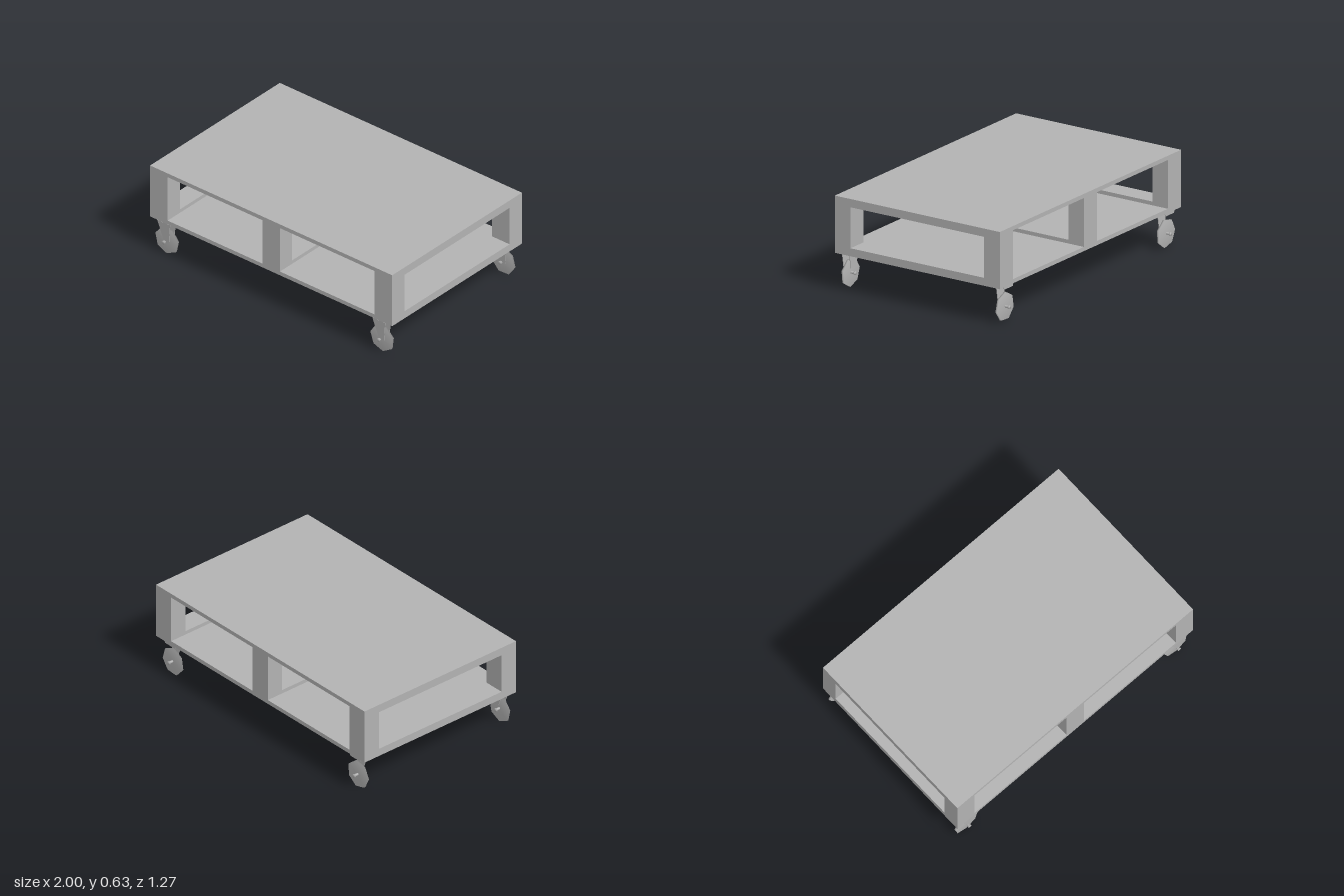
import * as THREE from 'three';
import { mergeVertices } from 'three/addons/utils/BufferGeometryUtils.js';

const grey = new THREE.MeshStandardMaterial({ color: 0xb2b2b2, side: THREE.DoubleSide });
grey.name = 'grey';

function add(parent, name, geometry, x = 0, y = 0, z = 0) {
  const mesh = new THREE.Mesh(geometry, grey);
  mesh.name = name;
  mesh.position.set(x, y, z);
  parent.add(mesh);
  return mesh;
}

// Box given by its limits on each axis
function slab(parent, name, [x0, x1], [y0, y1], [z0, z1]) {
  const g = new THREE.BoxGeometry(x1 - x0, y1 - y0, z1 - z0);
  return add(parent, name, g, (x0 + x1) / 2, (y0 + y1) / 2, (z0 + z1) / 2);
}

// Cylinder along z with normals blended over its few facets
function disc(radius, depth, sides, turn = 0) {
  const g = new THREE.CylinderGeometry(radius, radius, depth, sides);
  g.rotateX(Math.PI / 2).rotateZ(turn);
  g.deleteAttribute('uv');
  g.deleteAttribute('normal');
  const smooth = mergeVertices(g);
  smooth.computeVertexNormals();
  return smooth;
}

// Thin tapering fork leg, leaning from zTop to zBottom
function forkLeg(parent, zTop, zBottom, yBottom) {
  const top = 0.24, t = (top - yBottom) / 0.14;
  const shape = new THREE.Shape([
    new THREE.Vector2(-0.055, top), new THREE.Vector2(0.05, top),
    new THREE.Vector2(0.045 - 0.01 * t, yBottom), new THREE.Vector2(-0.055 + 0.05 * t, yBottom),
  ]);
  const g = new THREE.ExtrudeGeometry(shape, { depth: 0.004, bevelEnabled: false });
  const p = g.attributes.position;
  for (let i = 0; i < p.count; i++) {
    const k = (top - p.getY(i)) / (top - yBottom);
    p.setZ(i, p.getZ(i) - 0.002 + zTop + (zBottom - zTop) * k);
  }
  g.computeVertexNormals();
  add(parent, 'forkLeg', g);
}

function caster(x, z, turn, shortLegEnd) {
  const group = new THREE.Group();
  group.name = 'caster';
  group.position.set(x, 0, z);
  add(group, 'wheel', disc(0.095, 0.012, 7, turn), 0, 0.095, 0);
  add(group, 'axle', disc(0.009, 0.07, 8), 0, 0.095, 0);
  for (const s of [-1, 1]) add(group, 'axleNut', disc(0.013, 0.009, 6), 0, 0.095, s * 0.036);
  slab(group, 'mountPlate', [-0.055, 0.05], [0.235, 0.247], [-0.028, 0.032]);
  forkLeg(group, 0.031, 0.024, 0.1);
  forkLeg(group, -0.027, -0.027, shortLegEnd);
  return group;
}

export function createModel() {
  const model = new THREE.Group();
  const width = [-1, 1], depth = [-0.635, 0.635];

  // Decks
  slab(model, 'topDeck', width, [0.6, 0.628], depth);
  slab(model, 'bottomDeck', width, [0.247, 0.275], depth);

  // Three cross runners under and over the decks, with a block at each end
  for (const x of [[-1, -0.855], [-0.0725, 0.0725], [0.855, 1]]) {
    slab(model, 'topRunner', x, [0.573, 0.6], depth);
    slab(model, 'bottomRunner', x, [0.275, 0.3], depth);
    slab(model, 'frontBlock', x, [0.3, 0.573], [0.515, 0.635]);
    slab(model, 'backBlock', x, [0.3, 0.573], [-0.635, -0.515]);
  }

  // Casters, all facing the same way
  const turns = [0, 0.2, 0.1, 0.5];
  let i = 0;
  for (const x of [-0.892, 0.885]) {
    for (const z of [0.595, -0.592]) model.add(caster(x, z, turns[i++], z > 0 ? 0.135 : 0.222));
  }
  return model;
}
